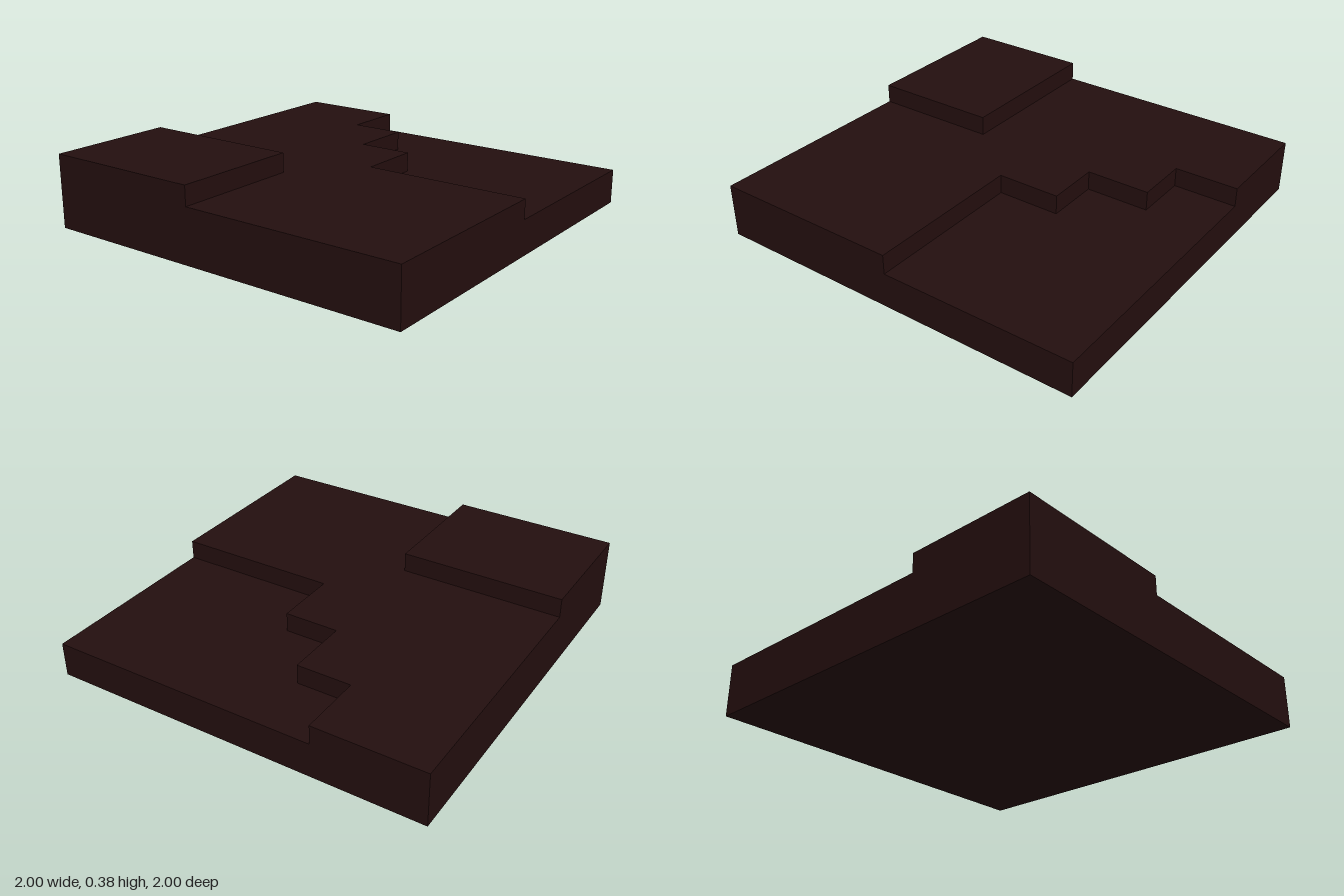
import * as THREE from 'three';

// Extrude a plan outline of [x, z] corners upward between two heights
function slab(name, outline, bottom, top, material) {
  const shape = new THREE.Shape(outline.map(([x, z]) => new THREE.Vector2(x, -z)));
  const geometry = new THREE.ExtrudeGeometry(shape, { depth: top - bottom, bevelEnabled: false });
  geometry.rotateX(-Math.PI / 2);
  geometry.translate(0, bottom, 0);
  const mesh = new THREE.Mesh(geometry, material);
  mesh.name = name;
  return mesh;
}

export function createModel() {
  const group = new THREE.Group();
  group.name = 'steppedTerrain';
  const earth = new THREE.MeshStandardMaterial({ color: 0x230e0e });
  earth.name = 'dark earth brown';

  const third = 1 / 3, seventh = 1 / 7;

  // Square ground layer
  group.add(slab('baseLayer', [[-1, 1], [1, 1], [1, -1], [-1, -1]], 0, 0.18, earth));

  // Middle terrace with a staircase edge at the back
  group.add(slab('middleTerrace', [
    [-1, 1], [1, 1], [1, 0],
    [seventh, 0], [seventh, -third],
    [-seventh, -third], [-seventh, -2 * third],
    [-3 * seventh, -2 * third], [-3 * seventh, -1], [-1, -1],
  ], 0.18, 0.28, earth));

  // Raised block at the front corner
  group.add(slab('upperTerrace', [
    [-1, 1], [-seventh, 1], [-seventh, third], [-1, third],
  ], 0.28, 0.38, earth));

  return group;
}
